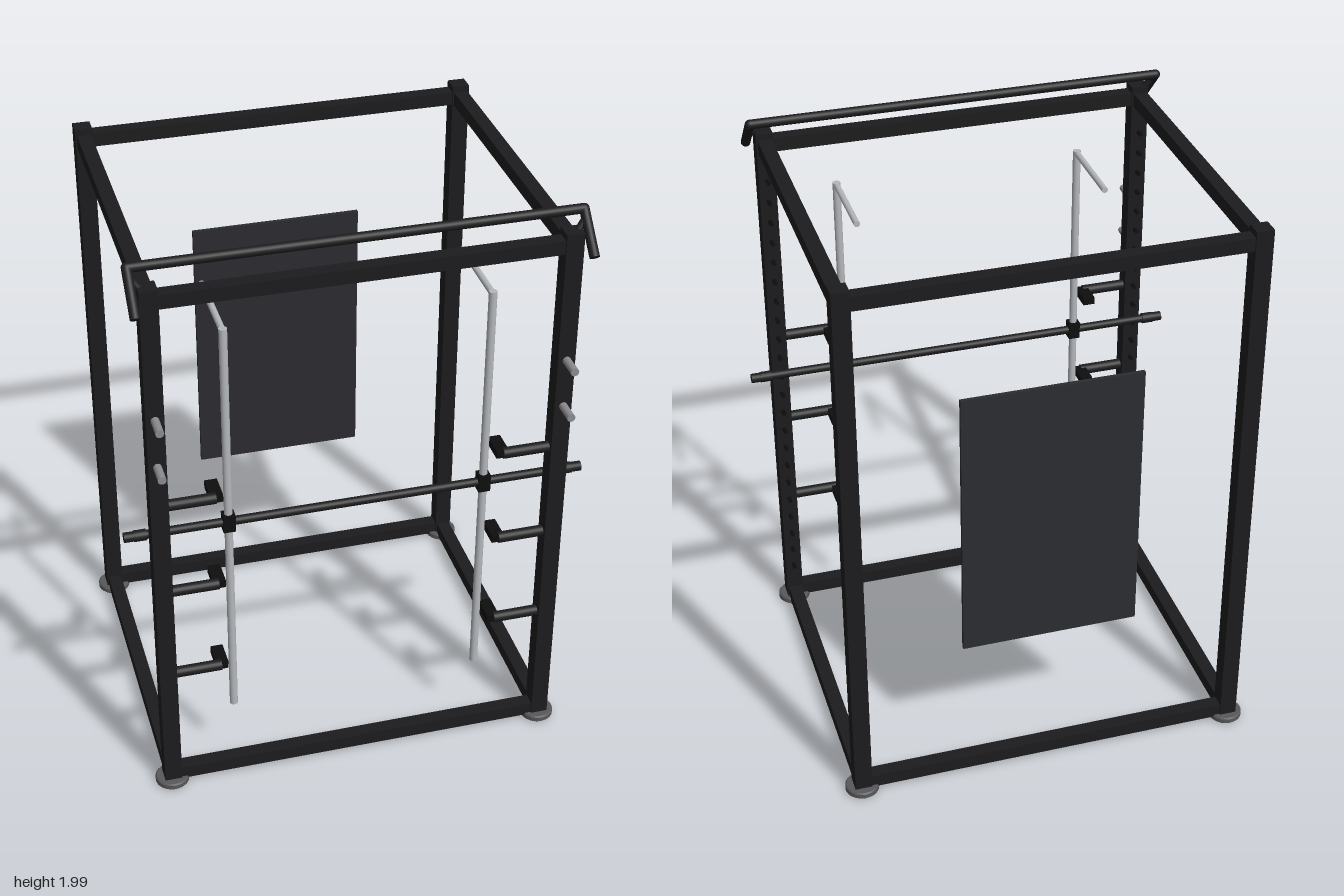
import * as THREE from 'three';

const mat = (color) => new THREE.MeshStandardMaterial({ color });

export function createModel() {
  const group = new THREE.Group();
  group.name = 'powerRack';
  const black = mat(0x1c1c1e), dark = mat(0x0e0e0f), panelGrey = mat(0x2b2c30);
  const steel = mat(0xb4b7bb), pegGrey = mat(0x8c8c90), footGrey = mat(0x58585a);

  const add = (name, geometry, material, x = 0, y = 0, z = 0) => {
    const mesh = new THREE.Mesh(geometry, material);
    mesh.name = name;
    mesh.position.set(x, y, z);
    group.add(mesh);
    return mesh;
  };
  const box = (name, m, w, h, d, x, y, z) => add(name, new THREE.BoxGeometry(w, h, d), m, x, y, z);
  // Round bar between two points
  const bar = (name, m, r, a, b, sides = 20) => {
    const p = new THREE.Vector3(...a), q = new THREE.Vector3(...b);
    const dir = q.clone().sub(p);
    const mesh = add(name, new THREE.CylinderGeometry(r, r, dir.length(), sides), m);
    mesh.position.copy(p).add(q).multiplyScalar(0.5);
    mesh.quaternion.setFromUnitVectors(new THREE.Vector3(0, 1, 0), dir.normalize());
    return mesh;
  };

  const X = 0.655, ZF = 0.527, ZB = -0.573, POST = 0.058, BEAM = 0.047;

  // Foot profile: a flanged disc, hollow underneath
  const footProfile = [[0.026, 0.022], [0.026, 0.005], [0.05, 0.005], [0.057, 0.012], [0.057, 0.027], [0.053, 0.032], [0, 0.032]]
    .map(([r, y]) => new THREE.Vector2(r, y));
  footProfile.unshift(new THREE.Vector2(0, 0.022));

  // Uprights and feet
  for (const x of [-X, X]) {
    for (const z of [ZF, ZB]) {
      box('upright', black, POST, 1.911, POST, x, 0.9805, z);
      const foot = add('foot', new THREE.LatheGeometry(footProfile, 32).toNonIndexed(), footGrey, x, 0, z);
      foot.geometry.computeVertexNormals();
    }
  }

  // Lower and upper frame beams
  for (const y of [0.048, 1.891]) {
    for (const z of [ZF, ZB]) box('crossBeam', black, 2 * X - POST, BEAM, BEAM, 0, y, z);
    for (const x of [-X, X]) box('sideBeam', black, BEAM, BEAM, ZF - ZB - POST, x, y, (ZF + ZB) / 2);
  }

  // Back panel
  box('backPanel', panelGrey, 0.595, 0.96, 0.014, 0, 1.01, ZB);

  // Pull-up bar with slanted arms
  const top = [1.983, 0.486], low = [1.871, 0.595];
  bar('pullUpBar', black, 0.016, [-0.703, ...top], [0.703, ...top]);

  // Barbell shaft
  const BY = 1.021, BZ = 0.484;
  bar('barbellShaft', black, 0.0145, [-0.74, BY, BZ], [0.74, BY, BZ]);

  for (const s of [-1, 1]) {
    bar('pullUpArm', black, 0.016, [s * 0.703, ...top], [s * 0.703, ...low]);
    add('pullUpElbow', new THREE.SphereGeometry(0.016, 20, 14), black, s * 0.703, ...top);
    bar('pullUpStrut', black, 0.012, [s * 0.70, 1.96, 0.508], [s * 0.665, 1.915, 0.522], 12);

    // Barbell ends and guide sleeves
    bar('barbellCollar', black, 0.0185, [s * 0.69, BY, BZ], [s * 0.73, BY, BZ]);
    bar('barbellEnd', black, 0.0165, [s * 0.73, BY, BZ], [s * 0.762, BY, BZ]);
    box('guideSleeve', dark, 0.04, 0.062, 0.038, s * 0.425, 1.022, 0.485);

    // Vertical guide rod with its rearward top arm
    bar('guideRod', steel, 0.0135, [s * 0.425, 0.265, 0.485], [s * 0.425, 1.735, 0.485]);
    bar('guideRodArm', steel, 0.0105, [s * 0.425, 1.725, 0.485], [s * 0.425, 1.725, 0.19]);

    // Front storage pegs
    for (const y of [1.32, 1.49]) bar('frontPeg', pegGrey, 0.0135, [s * X, y, ZF], [s * X, y, 0.63]);

    // Inward support arms with catch blocks
    for (const y of [0.475, 0.813, 1.151]) {
      bar('supportArm', black, 0.0185, [s * 0.63, y, ZF], [s * 0.472, y, ZF]);
      box('catchBlock', dark, 0.041, 0.027, 0.09, s * 0.47, y, 0.489);
    }

    // Row of adjustment studs on the back of the front upright
    for (let i = 0; i < 22; i++) {
      const y = 0.175 + i * 0.0758;
      bar('adjustmentStud', dark, 0.0075, [s * X, y, 0.5], [s * X, y, 0.476], 12);
    }
  }
  return group;
}
